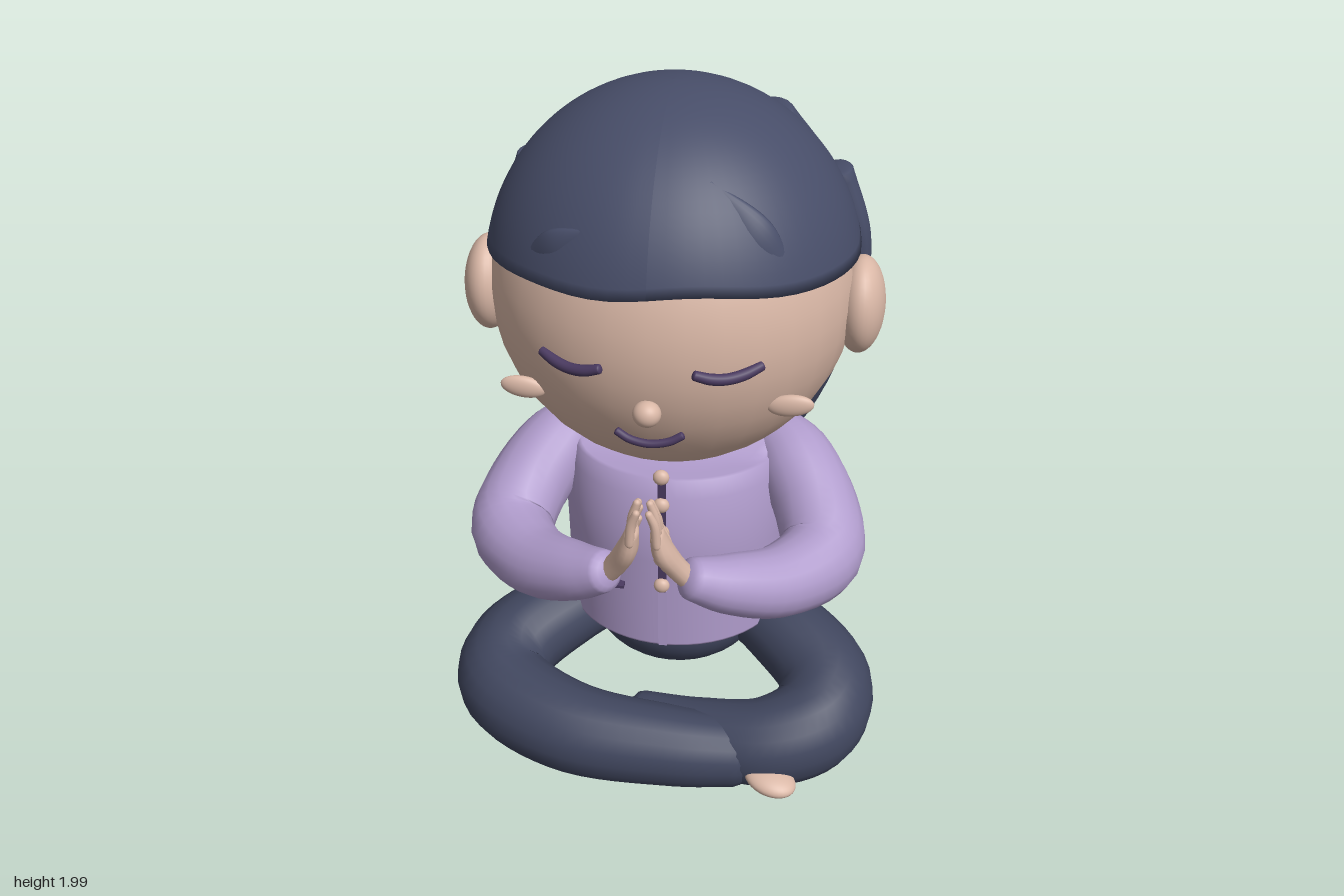
import * as THREE from 'three';

const mat = (name, color, side = THREE.FrontSide) => {
  const m = new THREE.MeshStandardMaterial({ color, side });
  m.name = name;
  return m;
};
const V = (p) => new THREE.Vector3(...p);
const smooth = THREE.MathUtils.smoothstep;

// Sweep of elliptical rings along a curve. Each point is [x, y, z, halfWidth, halfThickness].
// ref(point) gives the thickness direction; round sets how far the ends bulge.
function loft(pts, { ref = () => V([0, 1, 0]), round = 0.5, steps = 28, sides = 18 } = {}) {
  const curve = new THREE.CatmullRomCurve3(pts.map((p) => V(p)), false, 'catmullrom');
  const size = new THREE.CatmullRomCurve3(pts.map((p) => new THREE.Vector3(p[3], p[4] ?? p[3], 0)), false, 'catmullrom');
  const rings = [];
  const caps = [0, 0.35, 0.7, 0.92];
  caps.forEach((s) => rings.push([0, s, -Math.sqrt(1 - s * s)]));
  for (let i = 0; i <= steps; i++) rings.push([i / steps, 1, 0]);
  [...caps].reverse().forEach((s) => rings.push([1, s, Math.sqrt(1 - s * s)]));
  const pos = [], idx = [];
  rings.forEach(([t, s, off], i) => {
    const c = curve.getPoint(t), tan = curve.getTangent(t), r = size.getPoint(t);
    const side = ref(c).clone().cross(tan).normalize();
    const up = tan.clone().cross(side);
    c.addScaledVector(tan, off * round * Math.min(r.x, r.y));
    for (let j = 0; j < sides; j++) {
      const a = (j / sides) * Math.PI * 2;
      const p = c.clone().addScaledVector(side, Math.cos(a) * r.x * s).addScaledVector(up, Math.sin(a) * r.y * s);
      pos.push(p.x, p.y, p.z);
      if (i < rings.length - 1) {
        const k = (j + 1) % sides, n = i * sides;
        idx.push(n + j, n + k, n + sides + j, n + k, n + sides + k, n + sides + j);
      }
    }
  });
  const g = new THREE.BufferGeometry();
  g.setAttribute('position', new THREE.Float32BufferAttribute(pos, 3));
  g.setIndex(idx);
  g.computeVertexNormals();
  return g;
}

// Hair cap: a dome whose lower rim follows the hairline, with a tucked-in edge
function hairCap() {
  const rows = 24;
  const g = new THREE.SphereGeometry(1, 64, rows);
  const p = g.attributes.position, uv = g.attributes.uv;
  for (let i = 0; i < p.count; i++) {
    const az = uv.getX(i) * Math.PI * 2;
    const signed = az > Math.PI ? az - 2 * Math.PI : az;
    const a = Math.abs(signed);
    const drop = smooth(a, 1.75, 2.3);
    const wave = 0.012 * Math.sin(signed * 5) * Math.exp(-a * a * 2);
    const rim = 1.61 + wave - 0.045 * Math.sin(a) ** 2 + 0.03 * Math.exp(-(((a - 1.68) / 0.12) ** 2)) - 0.3 * drop;
    const ry = (y) => (y < 1.47 ? 0.62 : 0.53);
    const row = Math.round((1 - uv.getY(i)) * rows);
    const th = Math.acos((rim - 1.47) / ry(rim)) * Math.min(1, row / (rows - 1));
    const c = Math.cos(th);
    const r = 0.514 * Math.sin(th) * (row === rows ? 0.9 : 1);
    p.setXYZ(i, r * Math.sin(az), 1.47 + c * (c < 0 ? 0.62 : 0.53), r * Math.cos(az));
  }
  g.computeVertexNormals();
  return g;
}

export function createModel() {
  const root = new THREE.Group();
  root.name = 'meditatingFigure';
  const hair = mat('hair navy', 0x474d68, THREE.DoubleSide);
  const pants = mat('trousers navy', 0x40465e);
  const skin = mat('skin', 0xd9b7a6);
  const shirt = mat('lavender cloth', 0xb09ccc, THREE.DoubleSide);
  const dark = mat('dark plum', 0x4a3a60);

  const add = (name, geo, m, at = [0, 0, 0]) => {
    const mesh = new THREE.Mesh(geo, m);
    mesh.name = name;
    mesh.position.set(...at);
    root.add(mesh);
    return mesh;
  };
  const ball = (name, m, at, r) => {
    const mesh = add(name, new THREE.SphereGeometry(1, 32, 22), m, at);
    mesh.scale.set(...r);
    return mesh;
  };
  const flip = (s, pts) => pts.map(([x, ...rest]) => [x * s, ...rest]);

  // Head and face
  ball('head', skin, [0, 1.436, 0], [0.502, 0.504, 0.502]);
  ball('nose', skin, [0, 1.295, 0.497], [0.037, 0.035, 0.035]);
  add('mouth', loft([[-0.085, 1.213, 0.456, 0.011], [-0.05, 1.195, 0.462, 0.011], [0, 1.187, 0.465, 0.011],
    [0.05, 1.195, 0.462, 0.011], [0.085, 1.213, 0.456, 0.011]]), dark);
  for (const s of [1, -1]) {
    ball('ear', skin, [0.511 * s, 1.413, 0.035], [0.068, 0.137, 0.116]);
    const cheek = ball('cheek', skin, [0.352 * s, 1.265, 0.353], [0.062, 0.031, 0.018]);
    cheek.rotation.z = 0.12 * s;
    add('closedEye', loft(flip(s, [[0.12, 1.412, 0.492, 0.013], [0.16, 1.399, 0.482, 0.015], [0.2, 1.394, 0.466, 0.015],
      [0.24, 1.399, 0.445, 0.015], [0.28, 1.412, 0.418, 0.013]])), dark);
  }

  // Hair: cap, fringe folds and hanging locks
  add('hairCap', hairCap(), hair);
  const outward = (c) => V([c.x, 0, c.z]).normalize();
  const onCap = (x, y) => {
    const r = 0.5 * Math.sqrt(1 - ((y - 1.47) / 0.53) ** 2);
    return [x, y, Math.sqrt(r * r - x * x)];
  };
  add('fringeFold', loft([[...onCap(-0.32, 1.64), 0.02, 0.008], [...onCap(-0.24, 1.69), 0.045, 0.016],
    [...onCap(-0.14, 1.74), 0.01, 0.006]], { ref: outward }), hair);
  add('fringeFold', loft([[...onCap(0.33, 1.63), 0.02, 0.008], [...onCap(0.25, 1.74), 0.045, 0.016],
    [...onCap(0.13, 1.85), 0.01, 0.006]], { ref: outward }), hair);
  for (const s of [1, -1]) {
    add('longLock', loft(flip(s, [[0.235, 1.84, -0.25, 0.075, 0.05], [0.33, 1.6, -0.36, 0.13, 0.075],
      [0.345, 1.3, -0.42, 0.15, 0.085], [0.325, 1.04, -0.465, 0.15, 0.085], [0.255, 0.79, -0.51, 0.12, 0.07],
      [0.19, 0.6, -0.522, 0.06, 0.05]]), { ref: outward, round: 0.25 }), hair);
    add('sideLock', loft(flip(s, [[0.425, 1.71, -0.18, 0.055, 0.04], [0.47, 1.52, -0.205, 0.082, 0.05],
      [0.46, 1.32, -0.245, 0.085, 0.05], [0.405, 1.1, -0.31, 0.04, 0.03]]), { ref: outward, round: 0.25 }), hair);
  }
  add('middleLock', loft([[-0.02, 1.6, -0.39, 0.17, 0.06], [-0.02, 1.3, -0.425, 0.22, 0.08], [-0.02, 1.0, -0.475, 0.21, 0.078],
    [-0.02, 0.77, -0.515, 0.14, 0.066], [-0.02, 0.59, -0.525, 0.065, 0.05]], { ref: outward, round: 0.25 }), hair);

  // Tunic with scooped neckline, back hem panel, placket, buttons and pockets
  const lathe = (pts, ...a) => new THREE.LatheGeometry(pts.map((p) => new THREE.Vector2(...p)), 56, ...a);
  const tunicGeo = lathe([[0, 0.36], [0.31, 0.35], [0.328, 0.345], [0.328, 0.35], [0.33, 0.5], [0.333, 0.65],
    [0.336, 0.75], [0.325, 0.85], [0.31, 0.9], [0.295, 0.94], [0.265, 0.985], [0.2, 1.0], [0.1, 1.0], [0, 1.0]]);
  const tp = tunicGeo.attributes.position;
  for (let i = 0; i < tp.count; i++) {
    const y = tp.getY(i), z = tp.getZ(i);
    tp.setY(i, Math.min(y, 1 - 0.1 * smooth(z, -0.08, 0.16)));
    if (z > 0) tp.setZ(i, z * (1 - 0.1 * smooth(y, 0.72, 0.92)));
  }
  tunicGeo.computeVertexNormals();
  const tunic = add('tunic', tunicGeo, shirt, [0, 0, -0.065]);
  const panel = add('hemPanel', lathe([[0.333, 0.347], [0.335, 0.5], [0.339, 0.625], [0.33, 0.628]],
    Math.PI / 2 + 0.1, Math.PI - 0.2), shirt, [0, 0, -0.065]);
  for (const m of [tunic, panel]) m.scale.z = 0.94;
  add('placket', new THREE.BoxGeometry(0.022, 0.4, 0.016), dark, [0, 0.755, 0.255]);
  for (let i = 0; i < 5; i++) ball('button', skin, [0, 0.582 + i * 0.093, 0.265], [0.023, 0.023, 0.018]);
  add('frontSeam', new THREE.BoxGeometry(0.026, 0.2, 0.012), shirt, [0, 0.45, 0.246]);
  for (const s of [1, -1]) {
    add('pocketSide', new THREE.BoxGeometry(0.008, 0.09, 0.03), dark, [0.218 * s, 0.595, 0.235]);
    for (const y of [0.551, 0.638])
      add('pocketEdge', new THREE.BoxGeometry(0.105, 0.009, 0.03), dark, [0.167 * s, y, 0.235]);
  }

  // Arms and pressed hands
  for (const s of [1, -1]) {
    add('sleeve', loft(flip(s, [[0.275, 0.91, -0.11, 0.085], [0.355, 0.855, -0.03, 0.115], [0.43, 0.765, 0.09, 0.122],
      [0.447, 0.7, 0.21, 0.12], [0.345, 0.7, 0.35, 0.103], [0.215, 0.75, 0.45, 0.084], [0.12, 0.8, 0.508, 0.06]])), shirt);
    const zRef = { ref: () => V([s, 0, 0]), steps: 10, sides: 12, round: 1 };
    add('palm', loft(flip(s, [[0.113, 0.79, 0.5, 0.032, 0.03], [0.076, 0.85, 0.525, 0.034, 0.03],
      [0.048, 0.91, 0.545, 0.042, 0.029], [0.034, 0.965, 0.553, 0.037, 0.02]]), zRef), skin);
    [0.055, 0.085, 0.095, 0.075].forEach((len, i) => {
      const z = 0.526 + i * 0.018;
      add('finger', loft(flip(s, [[0.036, 0.95, z, 0.0125], [0.031, 0.97 + len * 0.5, z, 0.0125],
        [0.017, 0.973 + len, z - 0.002 + i * 0.002, 0.01]]), zRef), skin);
    });
    add('thumb', loft(flip(s, [[0.062, 0.89, 0.52, 0.016], [0.04, 0.945, 0.508, 0.014],
      [0.022, 0.985, 0.512, 0.01]]), zRef), skin);
  }

  // Hips and crossed legs
  ball('hips', pants, [0, 0.3, -0.08], [0.27, 0.19, 0.25]);
  const thigh = [[0.15, 0.31, -0.11, 0.1], [0.33, 0.285, 0.02, 0.125]];
  add('leftLeg', loft([...thigh, [0.48, 0.225, 0.17, 0.138], [0.463, 0.165, 0.31, 0.142], [0.32, 0.133, 0.385, 0.13],
    [0.12, 0.12, 0.365, 0.108], [-0.06, 0.125, 0.33, 0.085]], { steps: 40 }), pants);
  add('rightLeg', loft([...flip(-1, thigh), [-0.48, 0.225, 0.17, 0.138], [-0.462, 0.18, 0.315, 0.14],
    [-0.24, 0.155, 0.43, 0.132], [0.05, 0.133, 0.44, 0.118], [0.24, 0.113, 0.415, 0.105]], { steps: 40 }), pants);
  const frontFoot = ball('rightFoot', skin, [0.35, 0.098, 0.5], [0.08, 0.032, 0.06]);
  frontFoot.rotation.set(0, -0.45, -0.12);
  ball('leftFoot', skin, [-0.12, 0.115, 0.315], [0.07, 0.04, 0.055]);
  return root;
}
